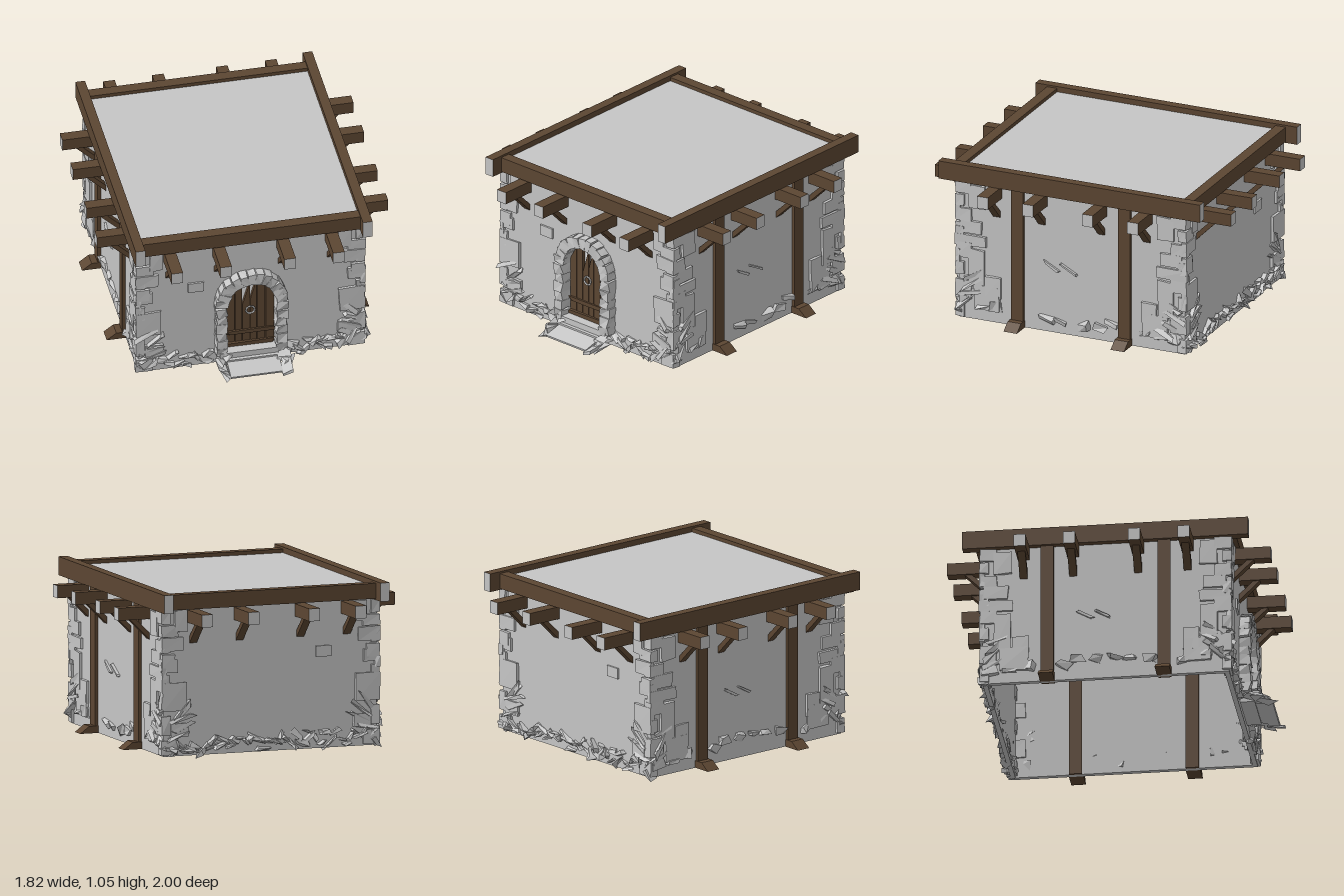
import * as THREE from 'three';

const mat = (name, color) => Object.assign(new THREE.MeshStandardMaterial({ color }), { name });

export function createModel() {
  const root = new THREE.Group();
  root.name = 'stoneHut';
  const stone = mat('pale stone', 0xc6c6c6);
  const wood = mat('dark timber', 0x5c4632);
  const gap = mat('door gap white', 0xffffff);
  let seed = 11;
  const rnd = (a = 0, b = 1) => {
    seed = (seed * 16807) % 2147483647;
    return a + (b - a) * (seed / 2147483647);
  };

  const add = (parent, name, geo, material, x = 0, y = 0, z = 0) => {
    const m = new THREE.Mesh(geo, material);
    m.name = name;
    m.position.set(x, y, z);
    parent.add(m);
    return m;
  };
  // box given by its lower and upper limits
  const span = (parent, name, material, x0, x1, y0, y1, z0, z1) =>
    add(parent, name, new THREE.BoxGeometry(Math.abs(x1 - x0), y1 - y0, Math.abs(z1 - z0)), material,
      (x0 + x1) / 2, (y0 + y1) / 2, (z0 + z1) / 2);
  // box whose eight corners are nudged, for rough-hewn stones
  const rough = (w, h, d, k) => {
    const g = new THREE.BoxGeometry(w, h, d);
    const p = g.attributes.position;
    const moves = {};
    for (let i = 0; i < p.count; i++) {
      const key = [p.getX(i), p.getY(i), p.getZ(i)].map(Math.sign).join();
      const m = (moves[key] ??= [rnd(-k, k) * w, rnd(-k, k) * h, rnd(-k, k) * d]);
      p.setXYZ(i, p.getX(i) + m[0], p.getY(i) + m[1], p.getZ(i) + m[2]);
    }
    const out = g.toNonIndexed();
    out.computeVertexNormals();
    return out;
  };
  const poly = (pts) => new THREE.Shape(pts.map(([x, y]) => new THREE.Vector2(x, y)));
  const extrude = (shape, depth) =>
    new THREE.ExtrudeGeometry(shape, { depth, bevelEnabled: false, curveSegments: 14 });

  // arched doorway outline
  const SPRING = 0.455;
  const arch = (Base, r, y0) => {
    const s = new Base();
    s.moveTo(-r, y0);
    s.lineTo(r, y0);
    s.lineTo(r, SPRING);
    s.absarc(0, SPRING, r, 0, Math.PI, false);
    s.lineTo(-r, y0);
    return s;
  };

  // hollow walls and flat roof
  const front = poly([[-0.7, 0], [0.7, 0], [0.7, 0.97], [-0.7, 0.97]]);
  front.holes.push(arch(THREE.Path, 0.16, 0.1));
  add(root, 'frontWall', extrude(front, 0.03), stone, 0, 0, 0.73);
  span(root, 'backWall', stone, -0.7, 0.7, 0, 0.97, -0.76, -0.73);
  for (const s of [-1, 1]) span(root, 'sideWall', stone, s * 0.67, s * 0.7, 0, 0.97, -0.73, 0.73);
  span(root, 'roof', stone, -0.7, 0.7, 0.95, 0.98, -0.76, 0.76);

  // roof edge beams with pale cut ends
  const endX = [stone, stone, wood, wood, wood, wood];
  const endZ = [wood, wood, wood, wood, stone, stone];
  for (const s of [-1, 1]) {
    span(root, 'sideBeam', endZ, s * 0.68, s * 0.74, 0.9, 1.015, -0.88, 0.88);
    span(root, 'crossBeam', endX, -0.685, 0.685, 0.908, 1.003, s * 0.735, s * 0.803);
  }

  // each wall: joists, brackets and rubble, built facing +z and turned into place
  const sides = [
    { name: 'front', turn: 0, wall: 0.76, end: 0.995, half: 0.7 },
    { name: 'right', turn: Math.PI / 2, wall: 0.7, end: 0.91, half: 0.76 },
    { name: 'back', turn: Math.PI, wall: 0.76, end: 0.998, half: 0.7 },
    { name: 'left', turn: -Math.PI / 2, wall: 0.7, end: 0.91, half: 0.76 },
  ];
  for (const { name, turn, wall, end, half } of sides) {
    const g = new THREE.Group();
    g.name = name + 'Side';
    g.rotation.y = turn;
    root.add(g);
    for (const x of [-0.505, -0.2, 0.2, 0.505]) {
      span(g, 'joist', endZ, x - 0.036, x + 0.036, 0.822, 0.9, wall - 0.07, end);
      const b = add(g, 'bracket', new THREE.BoxGeometry(0.048, 0.03, 0.21), wood, x, 0.775, wall + 0.06);
      b.rotation.x = -0.78;
    }
    const long = name === 'front' || name === 'back';
    // splintered rubble along the foot of the wall
    const n = long ? 44 : 14;
    for (let i = 0; i < n; i++) {
      const x = -half + (2 * half * (i + rnd(0.1, 0.9))) / n;
      if (name === 'front' && Math.abs(x) < 0.24) continue;
      const y = long ? rnd(0.015, 0.1) : rnd(0.07, 0.14);
      if (!long && Math.abs(Math.abs(x) - 0.36) < 0.07) continue;
      const geo = long ? rough(rnd(0.05, 0.1), rnd(0.012, 0.03), 0.05, 0.3) : rough(0.08, rnd(0.02, 0.06), 0.04, 0.25);
      const c = add(g, 'rubble', geo, stone, x, y, wall);
      c.rotation.set(rnd(-0.4, 0.4), rnd(-0.4, 0.4), long ? rnd(-1, 1) : rnd(-0.4, 0.4));
    }
    // leaning splinters by the corners
    for (const s of [-1, 1]) for (let i = 0; i < 4; i++) {
      const c = add(g, 'splinter', rough(0.13, 0.025, 0.045, 0.25), stone,
        s * (half - rnd(0.05, 0.14)), 0.12 + i * 0.055, wall);
      c.rotation.set(rnd(-0.4, 0.4), 0, -s * rnd(0.2, 0.9));
    }
    if (long) {
      const x = name === 'front' ? -0.34 : 0.35;
      span(g, 'looseBrick', stone, x - 0.05, x + 0.05, 0.565, 0.632, wall - 0.01, wall + 0.012);
    } else {
      // raised slivers in the middle of the side walls
      for (const x of [-0.02, -0.13]) {
        const c = add(g, 'sliver', rough(0.11, 0.014, 0.03, 0.15), stone, x, 0.43, wall);
        c.rotation.z = -0.5;
      }
      // posts with wedge feet
      for (const p of [-0.36, 0.36]) {
        span(g, 'post', wood, p - 0.04, p + 0.04, 0, 0.9, 0.655, 0.722);
        const foot = extrude(poly([[0.69, 0], [0.82, 0], [0.76, 0.045], [0.69, 0.045]]), 0.09);
        foot.rotateY(-Math.PI / 2);
        add(g, 'postFoot', foot, wood, p + 0.045, 0, 0);
      }
    }
  }

  // corner stones: [inner, outer, bottom, top] on the front/back and on the side walls
  const faceStones = [[0.55, 0.63, 0.77, 0.9], [0.58, 0.715, 0.65, 0.735], [0.63, 0.715, 0.55, 0.63],
    [0.555, 0.715, 0.28, 0.45], [0.545, 0.66, 0.12, 0.2]];
  const sideStones = [[0.58, 0.69, 0.73, 0.88], [0.6, 0.745, 0.565, 0.645], [0.575, 0.775, 0.48, 0.55],
    [0.585, 0.69, 0.23, 0.46], [0.475, 0.575, 0.16, 0.3], [0.48, 0.65, 0.08, 0.23]];
  const edges = [[0.82, 0.9], [0.74, 0.81], [0.64, 0.72], [0.52, 0.6], [0.4, 0.5], [0.29, 0.37], [0.13, 0.25], [0.01, 0.1]];
  for (const sx of [-1, 1]) for (const sz of [-1, 1]) {
    const stoneBox = (x0, x1, z0, z1, y0, y1) =>
      add(root, 'cornerStone', rough(x1 - x0, y1 - y0, z1 - z0, 0.04), stone,
        (sx * (x0 + x1)) / 2, (y0 + y1) / 2, (sz * (z0 + z1)) / 2);
    for (const [a, b, y0, y1] of faceStones) stoneBox(a, b, 0.745, 0.778, y0, y1);
    for (const [a, b, y0, y1] of sideStones) stoneBox(0.685, 0.717, a, b, y0, y1);
    edges.forEach(([y0, y1], i) =>
      stoneBox(i % 2 ? 0.61 : 0.66, 0.717, i % 2 ? 0.72 : 0.67, 0.776, y0, y1));
  }

  // arch stones and jambs around the door
  const door = new THREE.Group();
  door.name = 'doorway';
  root.add(door);
  for (let i = 0; i < 13; i++) {
    const a = (Math.PI * (i + 0.5)) / 13;
    const v = add(door, 'archStone', rough(0.075, 0.049, 0.09, 0.09), stone,
      Math.cos(a) * 0.187, SPRING + Math.sin(a) * 0.187, 0.78);
    v.rotation.z = a;
  }
  for (const s of [-1, 1]) for (let i = 0; i < 6; i++) {
    const j = add(door, 'jambStone', rough(0.066, 0.062, 0.095, 0.12), stone, s * 0.187, 0.115 + i * 0.06, 0.78);
    j.rotation.z = rnd(-0.15, 0.15);
  }
  add(door, 'doorBacking', extrude(arch(THREE.Shape, 0.165, 0.09), 0.009), gap, 0, 0, 0.721);

  // planks, the middle ones broken off: [left, right, left top, right top]
  const top = (x) => SPRING + Math.sqrt(Math.max(0, 0.152 ** 2 - x * x));
  const planks = [[-0.15, -0.098], [-0.094, -0.05], [-0.046, -0.002, 0.42, 0.57], [0.002, 0.04, 0.45, 0.59],
    [0.044, 0.094], [0.098, 0.15]];
  for (const [a, b, ya = top(a), yb = top(b)] of planks)
    add(door, 'plank', extrude(poly([[a, 0.1], [b, 0.1], [b, yb], [a, ya]]), 0.022), wood, 0, 0, 0.738);
  for (const y of [0.125, 0.215])
    add(door, 'doorBand', rough(0.29, 0.025, 0.016, 0.1), wood, 0, y, 0.765);
  add(door, 'ringHandle', new THREE.TorusGeometry(0.027, 0.006, 5, 12), stone, 0, 0.375, 0.77);

  // sill, worn step and broken chips
  span(door, 'sill', stone, -0.2, 0.2, 0.07, 0.108, 0.72, 0.83);
  span(door, 'lowerSill', stone, -0.17, 0.17, 0.035, 0.068, 0.74, 0.85);
  const step = add(door, 'step', new THREE.BoxGeometry(0.325, 0.014, 0.2), stone, 0, 0.045, 0.868);
  step.rotation.x = 0.26;
  for (const s of [-1, 1]) for (let i = 0; i < 4; i++) {
    const c = add(door, 'stepChip', rough(0.06, 0.02, 0.08, 0.35), stone,
      s * rnd(0.17, 0.21), 0.025 + i * 0.02, 0.93 - i * 0.045);
    c.rotation.set(rnd(-0.1, 0.4), rnd(-0.5, 0.5), rnd(-0.4, 0.4));
  }
  return root;
}
